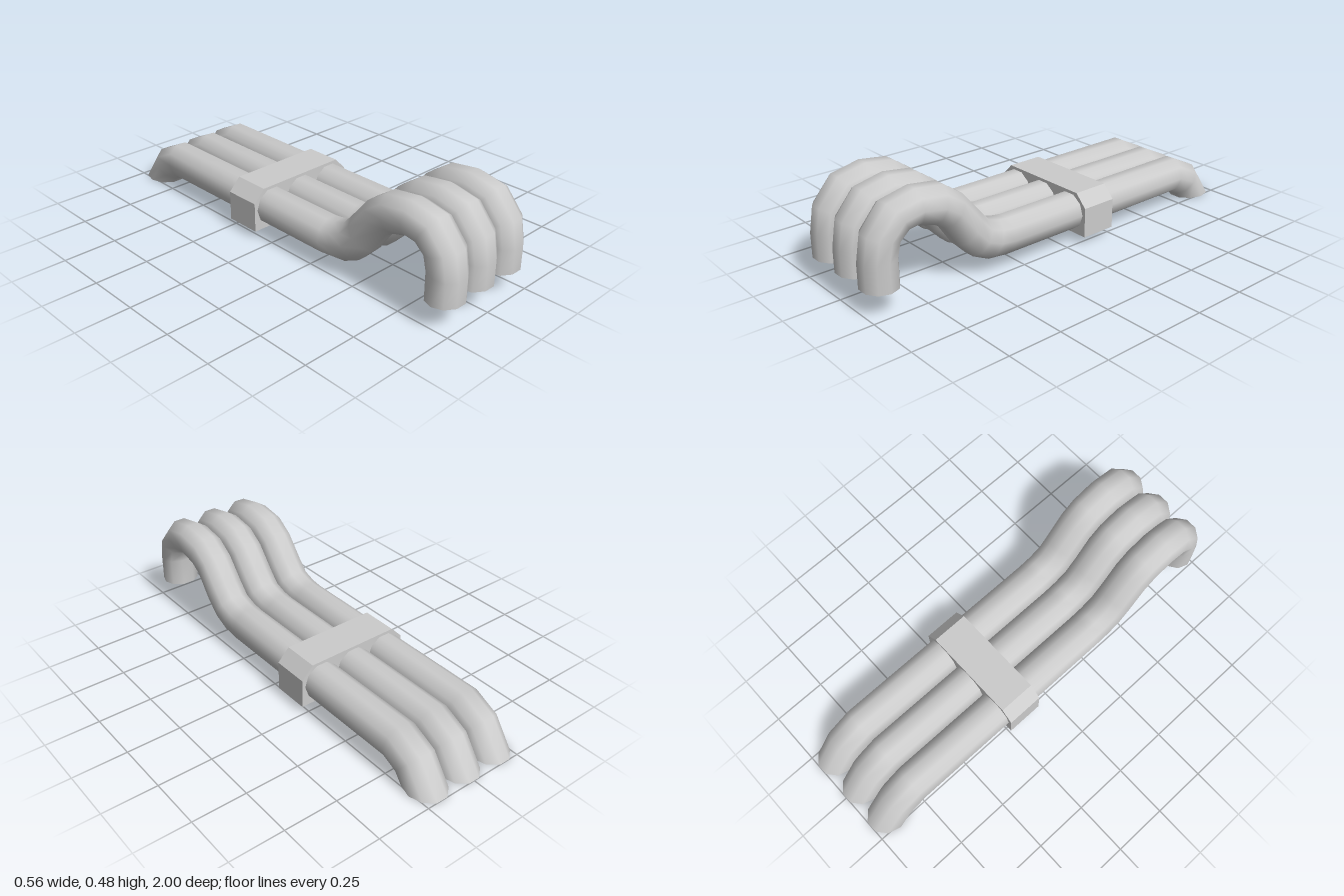
import * as THREE from 'three';

const SIDES = 10;
const RADIUS = 0.0885;
const SPACING = 0.177;

// Pipe rings in side profile: [outer z, outer y, inner z, inner y]
const RINGS = [
  [1, 0.11, 0.846, 0.11],
  [1, 0.22, 0.846, 0.245],
  [0.98, 0.337, 0.832, 0.294],
  [0.886, 0.45, 0.8, 0.316],
  [0.755, 0.478, 0.752, 0.322],
  [0.624, 0.46, 0.672, 0.3],
  [0.533, 0.397, 0.629, 0.273],
  [0.447, 0.294, 0.559, 0.171],
  [0.4, 0.241, 0.49, 0.102],
  [0.345, 0.225, 0.41, 0.064],
  [0.3, 0.219, 0.313, 0.053],
  [-0.757, 0.219, -0.725, 0.053],
  [-0.891, 0.155, -0.784, 0.027],
  [-1, 0, -0.806, 0],
];

function pipeGeometry() {
  const positions = [];
  const index = [];
  RINGS.forEach(([oz, oy, iz, iy], i) => {
    for (let j = 0; j < SIDES; j++) {
      const a = (j / SIDES) * Math.PI * 2;
      const s = Math.sin(a) / Math.cos(Math.PI / SIDES) / 2;
      positions.push(
        RADIUS * Math.cos(a),
        (oy + iy) / 2 + (oy - iy) * s,
        (oz + iz) / 2 + (oz - iz) * s
      );
      if (i < RINGS.length - 1) {
        const k = (j + 1) % SIDES;
        const p = i * SIDES + j, q = i * SIDES + k;
        index.push(p, p + SIDES, q, q, p + SIDES, q + SIDES);
      }
    }
  });
  const geo = new THREE.BufferGeometry();
  geo.setAttribute('position', new THREE.Float32BufferAttribute(positions, 3));
  geo.setIndex(index);
  geo.computeVertexNormals();
  return geo;
}

// Outline of the clamp, running from bottom right over the top to bottom left
const CLAMP = [
  [0.281, 0.037], [0.281, 0.175], [0.225, 0.233],
  [-0.225, 0.233], [-0.281, 0.175], [-0.281, 0.037],
];
const CLAMP_FRONT = -0.075;
const CLAMP_BACK = -0.247;

function clampShellGeometry() {
  const positions = [];
  for (let i = 0; i < CLAMP.length - 1; i++) {
    const [a, b] = [CLAMP[i], CLAMP[i + 1]];
    const f0 = [...a, CLAMP_FRONT], f1 = [...b, CLAMP_FRONT];
    const b0 = [...a, CLAMP_BACK], b1 = [...b, CLAMP_BACK];
    positions.push(...f0, ...b0, ...f1, ...f1, ...b0, ...b1);
  }
  const geo = new THREE.BufferGeometry();
  geo.setAttribute('position', new THREE.Float32BufferAttribute(positions, 3));
  geo.computeVertexNormals();
  return geo;
}

export function createModel() {
  const model = new THREE.Group();
  model.name = 'exhaustPipes';
  const smooth = new THREE.MeshStandardMaterial({ color: 0xcccccc, side: THREE.DoubleSide });
  const flat = new THREE.MeshStandardMaterial({
    color: 0xcccccc, side: THREE.DoubleSide, flatShading: true,
  });

  // Three identical open-ended pipes side by side
  const pipe = pipeGeometry();
  ['rightPipe', 'middlePipe', 'leftPipe'].forEach((name, i) => {
    const mesh = new THREE.Mesh(pipe, smooth);
    mesh.name = name;
    mesh.position.x = (i - 1) * SPACING;
    model.add(mesh);
  });

  // Clamp across the pipes, open underneath
  const clamp = new THREE.Group();
  clamp.name = 'clamp';
  const shell = new THREE.Mesh(clampShellGeometry(), flat);
  shell.name = 'clampShell';
  clamp.add(shell);
  const face = new THREE.ShapeGeometry(
    new THREE.Shape(CLAMP.map(([x, y]) => new THREE.Vector2(x, y)))
  );
  for (const [name, z, turn] of [
    ['clampFront', CLAMP_FRONT, 0],
    ['clampBack', CLAMP_BACK, Math.PI],
  ]) {
    const mesh = new THREE.Mesh(face, flat);
    mesh.name = name;
    mesh.position.z = z;
    mesh.rotation.y = turn;
    clamp.add(mesh);
  }
  model.add(clamp);

  return model;
}
